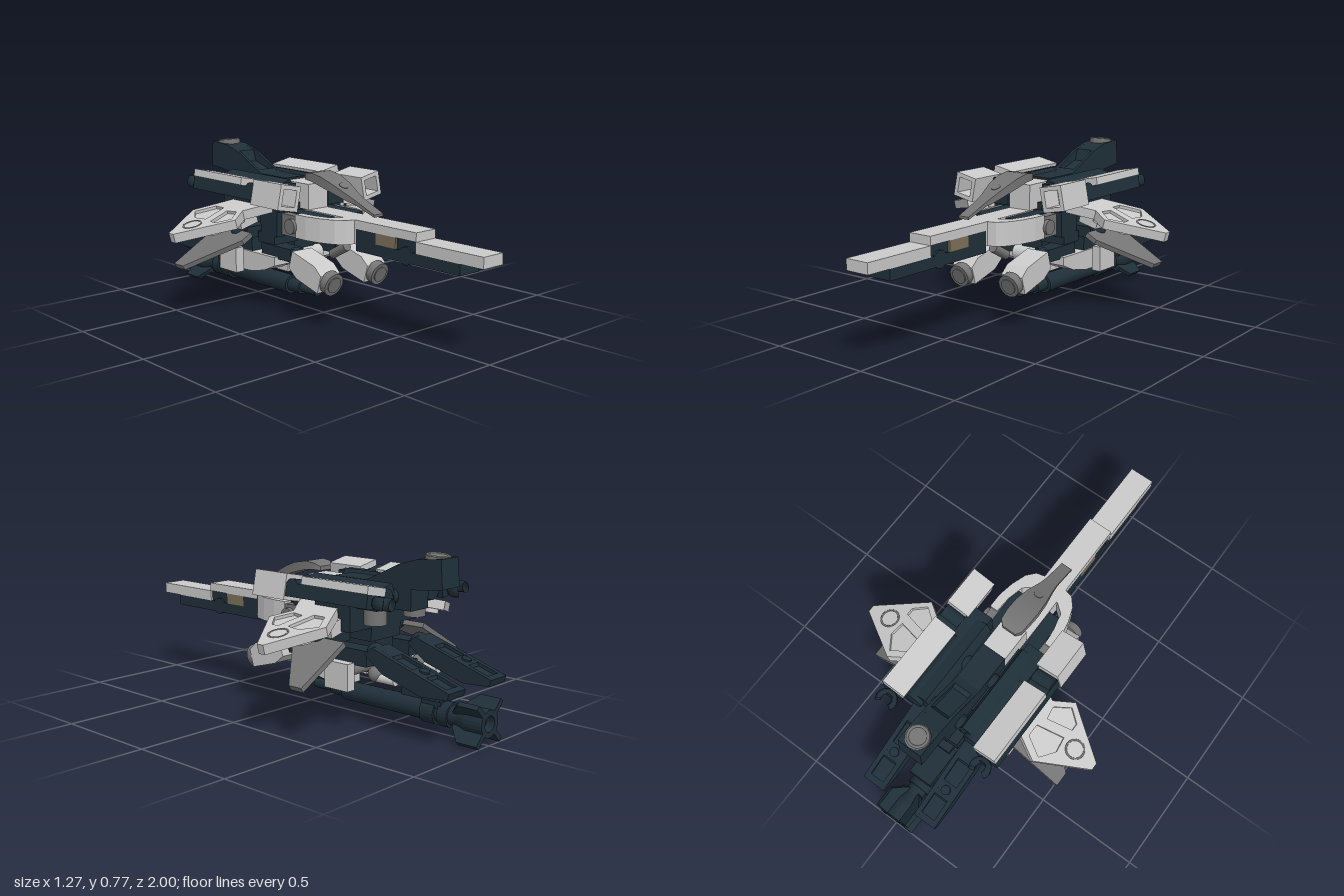
import * as THREE from 'three';

const mat = (color) => new THREE.MeshStandardMaterial({ color, side: THREE.DoubleSide });
const LIGHT = mat(0xcccccc), MID = mat(0x757575), DARK = mat(0x1f2f39), TAN = mat(0x7d715a);

function add(parent, name, geo, m, pos = [0, 0, 0], rot = [0, 0, 0]) {
  const mesh = new THREE.Mesh(geo, m);
  mesh.name = name;
  mesh.position.set(...pos);
  mesh.rotation.set(...rot);
  parent.add(mesh);
}

// box from ranges on each axis
const box = (p, name, m, x0, x1, y0, y1, z0, z1) =>
  add(p, name, new THREE.BoxGeometry(x1 - x0, y1 - y0, z1 - z0), m, [(x0 + x1) / 2, (y0 + y1) / 2, (z0 + z1) / 2]);

// cylinder centred at pos, along the x, y or z axis
function cyl(p, name, m, r, len, axis, pos, rot) {
  const g = new THREE.CylinderGeometry(r, r, len, 24);
  if (axis === 'x') g.rotateZ(-Math.PI / 2);
  if (axis === 'z') g.rotateX(Math.PI / 2);
  add(p, name, g, m, pos, rot);
}
const ball = (p, name, m, r, pos) => add(p, name, new THREE.SphereGeometry(r, 20, 14), m, pos);

const shapeOf = (pts) => new THREE.Shape(pts.map(([a, b]) => new THREE.Vector2(a, b)));
const extrude = (shape, depth) => new THREE.ExtrudeGeometry(shape, { depth, bevelEnabled: false });

// (z, y) outline spanning x0..x1
const side = (p, name, m, pts, x0, x1) =>
  add(p, name, extrude(shapeOf(pts), x1 - x0).rotateY(-Math.PI / 2).translate(x1, 0, 0), m);

// (x, z) outline spanning y0..y1, with optional holes
function plan(pts, y0, y1, holes = []) {
  const s = shapeOf(pts);
  holes.forEach((h) => s.holes.push(shapeOf(h)));
  return extrude(s, y1 - y0).rotateX(Math.PI / 2).translate(0, y1, 0);
}

// tile with a hollow underside
function tray(p, name, m, x0, x1, y0, y1, z0, z1) {
  const rect = (t) => [[x0 + t, z0 + t], [x1 - t, z0 + t], [x1 - t, z1 - t], [x0 + t, z1 - t]];
  box(p, name, m, x0, x1, y1 - 0.018, y1, z0, z1);
  add(p, name + 'Walls', plan(rect(0), y0, y1 - 0.018, [rect(0.015)]), m);
}

// mirrored copy of a group across x = 0, with the winding restored
function mirror(group) {
  const out = new THREE.Group();
  group.updateMatrixWorld(true);
  const flip = new THREE.Matrix4().makeScale(-1, 1, 1);
  group.traverse((o) => {
    if (!o.isMesh) return;
    const g = o.geometry.index ? o.geometry.toNonIndexed() : o.geometry.clone();
    g.applyMatrix4(flip.clone().multiply(o.matrixWorld));
    const order = [];
    for (let i = 0; i < g.attributes.position.count; i += 3) order.push(i, i + 2, i + 1);
    g.setIndex(order);
    add(out, o.name, g, o.material);
  });
  return out;
}

// curved canopy plate: stations of z, top height, half width, thickness
function canopyGeometry() {
  const st = [[-0.09, 0.655, 0.035, 0.02], [-0.07, 0.67, 0.055, 0.03], [-0.02, 0.676, 0.06, 0.04], [0.05, 0.663, 0.06, 0.045],
    [0.12, 0.636, 0.052, 0.04], [0.2, 0.597, 0.035, 0.03], [0.24, 0.579, 0.03, 0.02], [0.36, 0.53, 0.028, 0.012]];
  const g = new THREE.BoxGeometry(2, 1, st.length - 1, 1, 1, st.length - 1);
  const pos = g.attributes.position;
  for (let i = 0; i < pos.count; i++) {
    const [z, y, w, t] = st[Math.round(pos.getZ(i) + (st.length - 1) / 2)];
    pos.setXYZ(i, pos.getX(i) * w, y + (pos.getY(i) - 0.5) * t, z);
  }
  g.computeVertexNormals();
  return g;
}

function buildCentre(p) {
  // long nose blade
  tray(p, 'bladeTip', LIGHT, -0.06, 0.06, 0.41, 0.46, 0.637, 1);
  box(p, 'bladeRear', LIGHT, -0.06, 0.06, 0.46, 0.5, 0.27, 0.64);
  tray(p, 'bladeKeel', DARK, -0.06, 0.06, 0.36, 0.41, 0.28, 0.88);
  box(p, 'bladeBlock', DARK, -0.06, 0.06, 0.41, 0.46, 0.28, 0.4);
  box(p, 'bladeSpacer', TAN, -0.06, 0.06, 0.41, 0.46, 0.4, 0.52);
  box(p, 'bladeJoiner', DARK, -0.05, 0.05, 0.41, 0.46, 0.52, 0.64);
  cyl(p, 'bladePin', DARK, 0.04, 0.12, 'x', [0, 0.39, 0.58]);
  // nose block and chest axle
  box(p, 'noseBlock', LIGHT, -0.06, 0.06, 0.39, 0.5, -0.04, 0.28);
  box(p, 'chestBlock', MID, -0.17, 0.17, 0.39, 0.49, -0.11, 0.02);
  cyl(p, 'chestAxle', MID, 0.035, 0.38, 'x', [0, 0.44, -0.025]);
  // canopy
  add(p, 'canopy', canopyGeometry(), MID);
  cyl(p, 'canopyDimple', MID, 0.022, 0.006, 'y', [0, 0.628, 0.135], [0.45, 0, 0]);
  box(p, 'neckBlock', LIGHT, -0.06, 0.06, 0.5, 0.62, -0.2, -0.04);
  // core and spine
  box(p, 'core', DARK, -0.1, 0.1, 0.37, 0.53, -0.45, -0.1);
  box(p, 'lowerCore', DARK, -0.06, 0.06, 0.22, 0.37, -0.44, -0.14);
  box(p, 'rearBeam', DARK, -0.06, 0.06, 0.22, 0.29, -0.58, -0.44);
  box(p, 'spine', DARK, -0.06, 0.06, 0.52, 0.63, -0.63, -0.2);
  for (const z of [-0.3, -0.53]) cyl(p, 'spineAxle', DARK, 0.035, 0.18, 'x', [0, 0.575, z]);
  cyl(p, 'hipAxle', LIGHT, 0.038, 0.2, 'x', [0, 0.26, -0.15]);
  cyl(p, 'noseGun', MID, 0.022, 0.11, 'z', [0, 0.325, 0.11], [-0.5, 0, 0]);
  // raised tail fin, hollow along its front slope, with round cap
  const tail = [[-0.36, 0.62], [-0.46, 0.665], [-0.56, 0.715], [-0.66, 0.745], [-0.78, 0.755], [-0.79, 0.63], [-0.66, 0.615]];
  for (const x of [-0.06, 0.045]) side(p, 'tailWall', DARK, tail, x, x + 0.015);
  side(p, 'tailCore', DARK, [[-0.36, 0.62], [-0.42, 0.645], [-0.44, 0.63], [-0.56, 0.665], [-0.58, 0.72], [-0.66, 0.745],
    [-0.78, 0.755], [-0.79, 0.63], [-0.77, 0.63], [-0.765, 0.7], [-0.66, 0.7], [-0.65, 0.615]], -0.045, 0.045);
  cyl(p, 'tailPeg', MID, 0.03, 0.06, 'y', [0, 0.68, -0.715]);
  cyl(p, 'tailCap', MID, 0.055, 0.035, 'y', [0, 0.745, -0.72], [-0.1, 0, 0]);
  add(p, 'tailCapRim', new THREE.TorusGeometry(0.044, 0.007, 8, 24), MID, [0, 0.76, -0.72], [Math.PI / 2 - 0.1, 0, 0]);
  // cannon under the belly
  const profile = [[0, -0.04], [0.022, -0.04], [0.022, -0.15], [0.032, -0.15], [0.032, -0.23], [0.045, -0.23],
    [0.045, -0.68], [0.055, -0.68], [0.055, -0.75], [0.044, -0.75], [0.044, -0.77], [0.055, -0.77], [0.055, -0.82],
    [0.045, -0.82], [0.045, -0.86], [0.06, -0.91], [0.06, -1], [0.035, -1], [0.035, -0.96], [0, -0.96]];
  const barrel = new THREE.LatheGeometry(profile.map(([r, z]) => new THREE.Vector2(r, z)), 24).toNonIndexed();
  barrel.computeVertexNormals();
  add(p, 'cannonBarrel', barrel, DARK, [0, 0.095, 0], [Math.PI / 2, 0, 0]);
  for (let i = 0; i < 4; i++) {
    const fin = plan([[0.03, -0.84], [0.06, -0.85], [0.12, -0.9], [0.12, -1], [0.05, -1], [0.03, -0.95]], -0.011, 0.011);
    add(p, 'cannonFin', fin, DARK, [0, 0.095, 0], [0, 0, Math.PI / 4 + i * Math.PI / 2]);
  }
  box(p, 'cannonHanger', DARK, -0.06, 0.06, 0.155, 0.205, -0.79, -0.59);
  box(p, 'cannonClamp', DARK, -0.04, 0.04, 0.12, 0.16, -0.78, -0.68);
  box(p, 'cannonBracket', DARK, -0.04, 0.04, 0.19, 0.23, -0.62, -0.47);
}

function buildSide(p) {
  // curved cheek shell beside the nose block, with a dark rail inside
  add(p, 'cheek', plan([[0.06, 0.27], [0.1, 0.26], [0.135, 0.22], [0.16, 0.15], [0.175, 0.07], [0.175, 0],
    [0.135, 0], [0.13, 0.08], [0.11, 0.16], [0.06, 0.2]], 0.39, 0.5), LIGHT);
  box(p, 'cheekRail', DARK, 0.06, 0.13, 0.42, 0.495, -0.2, 0.14);
  // upper arm column with a sloped top
  add(p, 'armColumn', extrude(shapeOf([[0.08, 0.53], [0.08, 0.59], [0.1, 0.638], [0.2, 0.612], [0.2, 0.53]]), 0.44), DARK, [0, 0, -0.56]);
  box(p, 'armFront', DARK, 0.1, 0.2, 0.5, 0.625, -0.24, -0.08);
  cyl(p, 'armTube', DARK, 0.045, 0.36, 'z', [0.16, 0.58, -0.4]);
  box(p, 'chestPlate', DARK, 0.08, 0.2, 0.38, 0.52, -0.22, -0.1);
  box(p, 'hipPlate', DARK, 0.06, 0.2, 0.34, 0.39, -0.24, -0.12);
  box(p, 'wingRoot', DARK, 0.08, 0.24, 0.43, 0.55, -0.45, -0.25);
  // tilted shoulder pod with hollow front
  const pod = new THREE.Group();
  pod.name = 'shoulderPod';
  pod.position.set(0.255, 0.59, 0);
  pod.rotation.z = 0.2;
  const frame = shapeOf([[-0.058, -0.058], [0.058, -0.058], [0.058, 0.058], [-0.058, 0.058]]);
  frame.holes.push(shapeOf([[-0.038, -0.038], [0.038, -0.038], [0.038, 0.038], [-0.038, 0.038]]));
  add(pod, 'podShell', extrude(frame, 0.1), LIGHT, [0, 0, -0.045]);
  box(pod, 'podBody', LIGHT, -0.058, 0.058, -0.058, 0.058, -0.14, -0.045);
  tray(pod, 'podRail', DARK, -0.055, 0.053, -0.04, 0.02, -0.6, -0.14);
  box(pod, 'podCover', LIGHT, -0.058, 0.058, 0.02, 0.055, -0.6, -0.23);
  cyl(pod, 'podHinge', DARK, 0.035, 0.1, 'x', [0, 0.005, -0.17]);
  // rear clip opening backwards
  box(pod, 'clipStem', DARK, -0.018, 0.018, -0.03, 0.01, -0.625, -0.59);
  const clip = new THREE.TorusGeometry(0.036, 0.014, 8, 18, Math.PI * 1.4).rotateZ(Math.PI * 0.8).scale(1, 1, 2);
  add(pod, 'podClip', clip, DARK, [0, -0.01, -0.645], [-Math.PI / 2, 0, 0]);
  p.add(pod);
  // upper wing with two framed recesses
  const wing = new THREE.Group();
  wing.name = 'upperWing';
  wing.position.set(0.2, 0.515, 0);
  wing.rotation.z = -0.25;
  const outline = [[0, -0.13], [0.12, -0.2], [0.21, -0.14], [0.445, -0.3], [0.445, -0.335], [0.21, -0.47], [0, -0.36]];
  const recesses = [[[0.14, -0.22], [0.21, -0.17], [0.27, -0.215], [0.27, -0.25], [0.15, -0.28]],
    [[0.13, -0.33], [0.26, -0.3], [0.27, -0.37], [0.22, -0.44], [0.13, -0.39]]];
  add(wing, 'wingPlate', plan(outline, -0.022, 0.008), LIGHT);
  add(wing, 'wingFrame', plan(outline, 0.008, 0.022, recesses), LIGHT);
  add(wing, 'wingRing', new THREE.TorusGeometry(0.042, 0.005, 8, 24), MID, [0.33, 0.02, -0.31], [Math.PI / 2, 0, 0]);
  for (const [x, z] of [[0.13, -0.25], [0.13, -0.35], [0.25, -0.26], [0.25, -0.37]])
    cyl(wing, 'wingPeg', LIGHT, 0.035, 0.025, 'y', [x, -0.03, z]);
  box(wing, 'wingBracket', LIGHT, 0.02, 0.12, -0.08, -0.02, -0.4, -0.24);
  p.add(wing);
  cyl(p, 'underPeg', MID, 0.05, 0.07, 'y', [0.135, 0.495, -0.5]);
  // lower fin on ball joint
  box(p, 'finArm', DARK, 0.1, 0.26, 0.358, 0.412, -0.33, -0.25);
  ball(p, 'finBall', DARK, 0.035, [0.27, 0.385, -0.3]);
  add(p, 'lowerFin', plan([[0, -0.2], [0.06, -0.2], [0.3, -0.38], [0.3, -0.45], [0, -0.45]], -0.012, 0.012), MID, [0.27, 0.387, 0], [0, 0, -0.52]);
  // front thruster leg
  const leg = new THREE.Group();
  leg.name = 'frontLeg';
  leg.position.set(0.145, 0.25, 0.1);
  leg.rotation.x = 0.28;
  side(leg, 'legBody', LIGHT, [[0.1, -0.055], [0.1, 0.03], [0.05, 0.055], [-0.11, 0.055], [-0.11, -0.03], [-0.05, -0.055]], -0.058, 0.058);
  cyl(leg, 'thrusterRing', MID, 0.054, 0.04, 'z', [0, -0.005, 0.115]);
  cyl(leg, 'thrusterCore', MID, 0.037, 0.05, 'z', [0, -0.005, 0.115]);
  p.add(leg);
  box(p, 'legArm', DARK, 0.1, 0.18, 0.27, 0.33, -0.24, -0.03);
  ball(p, 'legBall', DARK, 0.04, [0.14, 0.295, -0.04]);
  box(p, 'bellyFoot', LIGHT, 0.025, 0.07, 0.18, 0.22, -0.32, -0.18);
  // curved belly hull, and a square outer pad on a pin
  side(p, 'bellyHull', LIGHT, [[-0.12, 0.28], [-0.12, 0.24], [-0.2, 0.205], [-0.3, 0.185], [-0.38, 0.182], [-0.38, 0.28]], 0.09, 0.2);
  box(p, 'outerPad', LIGHT, 0.22, 0.265, 0.18, 0.3, -0.46, -0.33);
  cyl(p, 'padPin', MID, 0.025, 0.18, 'x', [0.14, 0.25, -0.4]);
  // rear leg fin with sunken panels
  ball(p, 'rearBall', DARK, 0.04, [0.15, 0.345, -0.52]);
  ball(p, 'rearKnuckle', MID, 0.035, [0.15, 0.25, -0.52]);
  cyl(p, 'rearPin', LIGHT, 0.02, 0.12, 'z', [0.15, 0.235, -0.57]);
  box(p, 'rearLink', DARK, 0.1, 0.19, 0.28, 0.35, -0.5, -0.3);
  const fin = [[-0.5, 0.34], [-0.54, 0.375], [-0.94, 0.25], [-0.93, 0.22], [-0.8, 0.212], [-0.6, 0.27]];
  for (const x of [0.09, 0.183]) side(p, 'rearFinWall', DARK, fin, x, x + 0.022);
  side(p, 'rearFinCore', DARK, [[-0.5, 0.34], [-0.54, 0.375], [-0.63, 0.347], [-0.635, 0.33], [-0.74, 0.297], [-0.74, 0.312],
    [-0.81, 0.29], [-0.815, 0.274], [-0.91, 0.244], [-0.91, 0.259], [-0.94, 0.25], [-0.93, 0.22], [-0.8, 0.212], [-0.6, 0.27]], 0.112, 0.183);
  cyl(p, 'rearFinStud', DARK, 0.022, 0.012, 'y', [0.148, 0.303, -0.775], [-0.3, 0, 0]);
}

export function createModel() {
  const model = new THREE.Group(), centre = new THREE.Group(), left = new THREE.Group();
  buildCentre(centre);
  buildSide(left);
  const right = mirror(left);
  model.name = 'fighter';
  centre.name = 'centreBody';
  left.name = 'leftSide';
  right.name = 'rightSide';
  return model.add(centre, left, right);
}
